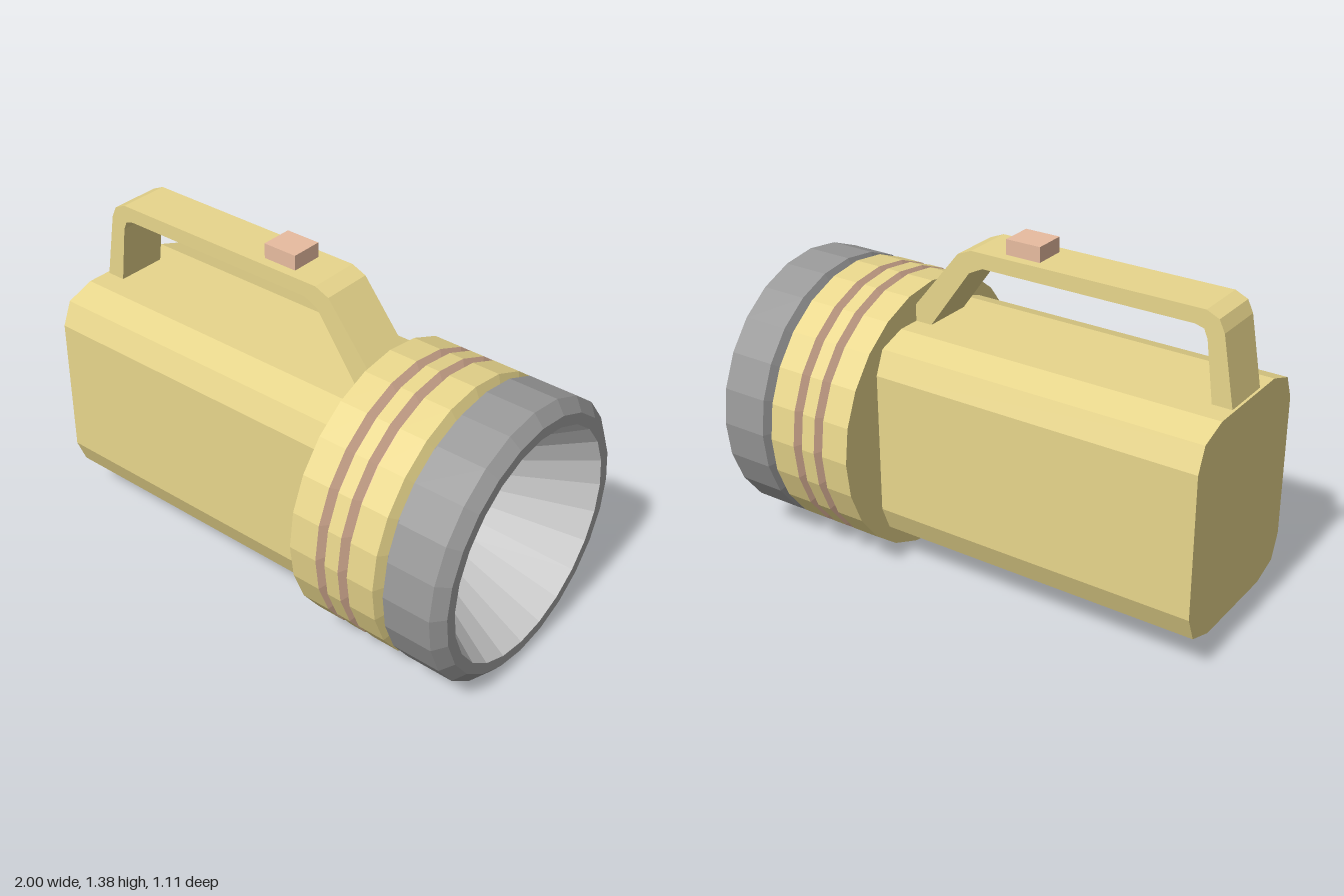
import * as THREE from 'three';

const SIDES = 24;
const AXIS_Y = 0.555; // height of the lamp axis

const material = (color) => new THREE.MeshStandardMaterial({ color, flatShading: true });

export function createModel() {
  const group = new THREE.Group();
  const yellow = material(0xe8d68c);
  const pink = material(0xe8bca0);
  const darkGrey = material(0x999999);
  const grey = material(0xcccccc);

  const add = (name, geometry, mat) => {
    const mesh = new THREE.Mesh(geometry, mat);
    mesh.name = name;
    group.add(mesh);
    return mesh;
  };

  // Revolve [x, radius] points around the lamp axis
  const turned = (name, points, mat) => {
    const geometry = new THREE.LatheGeometry(points.map(([x, r]) => new THREE.Vector2(r, x)), SIDES);
    geometry.rotateZ(-Math.PI / 2);
    add(name, geometry, mat).position.y = AXIS_Y;
  };

  const extruded = (points, depth) => new THREE.ExtrudeGeometry(
    new THREE.Shape(points.map(([x, y]) => new THREE.Vector2(x, y))),
    { depth, bevelEnabled: false });

  // Battery case: rounded box section, mirrored and run along x
  const half = [[0.2, 0.13], [0.315, 0.17], [0.355, 0.27], [0.355, 0.845], [0.315, 0.94], [0.2, 0.98]];
  const section = [...half, ...half.map(([z, y]) => [-z, y]).reverse()];
  const body = extruded(section, 1.36);
  body.rotateY(Math.PI / 2);
  body.translate(-1, 0, 0);
  add('body', body, yellow);

  // Lamp head: yellow bands separated by pink grooves
  const R = 0.555, G = 0.512;
  turned('headBack', [[0.35, 0], [0.35, R], [0.467, R]], yellow);
  turned('headMiddle', [[0.508, R], [0.567, R]], yellow);
  turned('headFront', [[0.608, R], [0.72, R], [0.738, G]], yellow);
  for (const x of [0.467, 0.567]) {
    turned('groove', [[x, R], [x + 0.016, G], [x + 0.025, G], [x + 0.041, R]], pink);
  }

  // Bezel with chamfered rim, and the reflector cone inside it
  turned('bezel', [[0.738, G], [0.747, G], [0.765, R], [0.96, R], [1, 0.507], [1, 0.463]], darkGrey);
  turned('reflector', [[1, 0.463], [0.67, 0.27]], grey);
  turned('lens', [[0.67, 0.27], [0.67, 0]], grey);

  // Carrying handle, extruded across z
  const handle = extruded([
    [-0.995, 0.95], [-0.915, 0.95], [-0.88, 1.215], [-0.865, 1.25], [-0.83, 1.26],
    [0.04, 1.26], [0.1, 1.23], [0.3, 0.95], [0.36, 0.95], [0.36, 1.035],
    [0.15, 1.295], [0.09, 1.32], [-0.87, 1.32], [-0.92, 1.297], [-0.942, 1.25],
  ], 0.21);
  handle.translate(0, 0, -0.105);
  add('handle', handle, yellow);

  // Switch on top of the handle
  add('switch', new THREE.BoxGeometry(0.145, 0.07, 0.13), pink).position.set(-0.11, 1.345, 0);

  return group;
}
